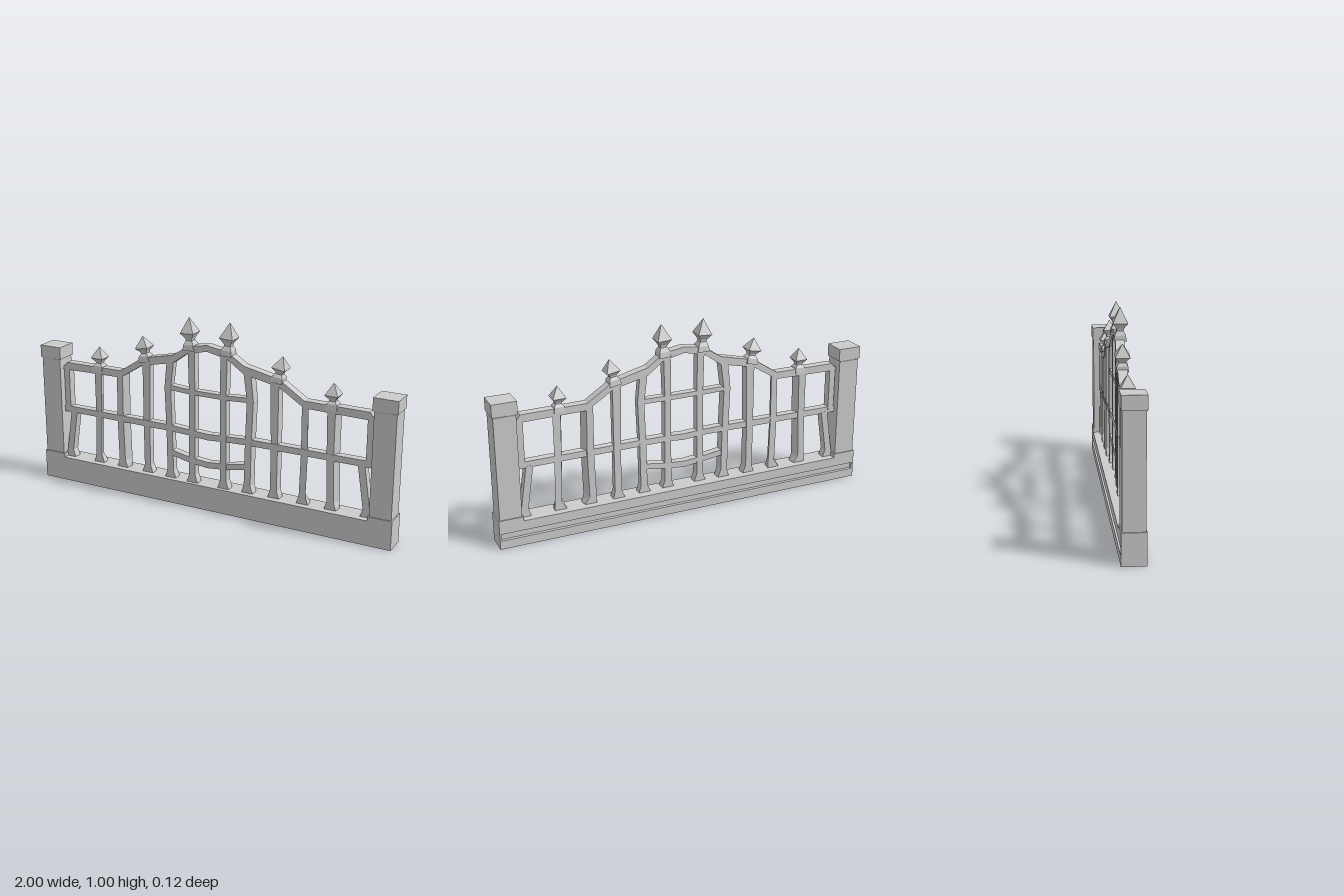
import * as THREE from 'three';

const material = new THREE.MeshStandardMaterial({ color: 0xcccccc, flatShading: true });

function part(parent, name, geometry, x = 0, y = 0, z = 0) {
  const mesh = new THREE.Mesh(geometry, material);
  mesh.name = name;
  mesh.position.set(x, y, z);
  parent.add(mesh);
  return mesh;
}

// Skin a run of four-cornered cross-sections, with both ends capped
function loft(rings) {
  const pos = [];
  const quad = (a, b, c, d) => pos.push(...a, ...b, ...c, ...a, ...c, ...d);
  for (let r = 0; r < rings.length - 1; r++) {
    const p = rings[r], q = rings[r + 1];
    for (let i = 0; i < 4; i++) quad(p[i], p[(i + 1) % 4], q[(i + 1) % 4], q[i]);
  }
  const [a, b, c, d] = rings[0];
  quad(d, c, b, a);
  quad(...rings[rings.length - 1]);
  const g = new THREE.BufferGeometry();
  g.setAttribute('position', new THREE.Float32BufferAttribute(pos, 3));
  g.computeVertexNormals();
  return g;
}

// The middle of the grille bulges forward a little
const bow = (x) => 0.002 + 0.013 * THREE.MathUtils.clamp((0.32 - Math.abs(x)) / 0.2, 0, 1);

// Horizontal rail from [x, bottom, top] stations given for x >= 0, mirrored
function rail(half, depth) {
  const mirrored = half.filter((s) => s[0] > 0).map(([x, b, t]) => [-x, b, t]).reverse();
  return loft([...mirrored, ...half].map(([x, b, t]) => {
    const f = bow(x) + depth / 2, k = bow(x) - depth / 2;
    return [[x, b, f], [x, b, k], [x, t, k], [x, t, f]];
  }));
}

// Upright bar from [y, x, width] stations; skew slides the rear face sideways
function post(stations, side, skew, depth) {
  return loft(stations.map(([y, px, w]) => {
    const x = px * side, xb = x + skew * side * (y < 0.15 ? 0.3 : 1);
    const f = bow(x) + depth / 2, k = bow(x) - depth / 2;
    return [[x - w / 2, y, f], [x + w / 2, y, f], [xb + w / 2, y, k], [xb - w / 2, y, k]];
  }));
}

// Four-sided spear head on a flared neck, half-width r
function finial(height, r) {
  const c = Math.SQRT2;
  const profile = [[0, -0.02], [r * 0.85, -0.02], [r * 0.75, 0.008], [r * 0.45, height * 0.2],
    [r * 0.5, height * 0.28], [r, height * 0.47], [0, height]];
  const g = new THREE.LatheGeometry(profile.map(([x, y]) => new THREE.Vector2(x * c, y)), 4, Math.PI / 4)
    .toNonIndexed();
  g.computeVertexNormals();
  return g;
}

export function createModel() {
  const model = new THREE.Group();
  model.name = 'ornamentalFence';

  // Plinth with a groove along the back
  const section = new THREE.Shape([[-0.057, 0], [0.057, 0], [0.057, 0.045], [0.04, 0.045], [0.04, 0.08],
    [0.057, 0.08], [0.057, 0.13], [-0.057, 0.13]].map(([x, y]) => new THREE.Vector2(x, y)));
  const plinth = new THREE.ExtrudeGeometry(section, { depth: 1.98, bevelEnabled: false });
  plinth.translate(0, 0, -0.99).rotateY(Math.PI / 2);
  part(model, 'plinth', plinth);

  // Square end pillars
  for (const s of [1, -1]) {
    const pillar = new THREE.Group();
    pillar.name = s > 0 ? 'leftPillar' : 'rightPillar';
    model.add(pillar);
    part(pillar, 'plinthEnd', new THREE.BoxGeometry(0.01, 0.13, 0.114), s * 0.995, 0.065);
    part(pillar, 'pillarBase', new THREE.BoxGeometry(0.125, 0.022, 0.114), s * 0.9375, 0.141);
    part(pillar, 'pillarShaft', new THREE.BoxGeometry(0.112, 0.56, 0.104), s * 0.938, 0.42);
    part(pillar, 'pillarCapNeck', new THREE.CylinderGeometry(0.0575 * Math.SQRT2, 0.052 * Math.SQRT2, 0.009, 4)
      .rotateY(Math.PI / 4), s * 0.9375, 0.681);
    part(pillar, 'pillarCap', new THREE.BoxGeometry(0.125, 0.065, 0.114), s * 0.9375, 0.7175);
  }

  // Rails
  const grille = new THREE.Group();
  grille.name = 'grille';
  model.add(grille);
  part(grille, 'topRail', rail([[0, 0.843, 0.875], [0.11, 0.82, 0.857], [0.2, 0.755, 0.797], [0.385, 0.715, 0.755],
    [0.52, 0.63, 0.667], [0.855, 0.625, 0.665], [0.88, 0.625, 0.63]], 0.047));
  part(grille, 'middleRail', rail([[0, 0.377, 0.41], [0.1, 0.385, 0.415], [0.22, 0.387, 0.42],
    [0.89, 0.387, 0.42]], 0.042));
  part(grille, 'upperCrossRail', rail([[0, 0.605, 0.63], [0.1, 0.605, 0.63], [0.22, 0.61, 0.635]], 0.04));
  part(grille, 'lowerCrossRail', rail([[0, 0.225, 0.257], [0.1, 0.235, 0.265], [0.215, 0.255, 0.285]], 0.04));

  // Uprights: [skew, stations], mirrored
  const foot = (x) => [[0.115, x, 0.065], [0.135, x, 0.06], [0.17, x, 0.036]];
  const posts = [
    [0, [...foot(0.09), [0.4, 0.09, 0.034], [0.62, 0.088, 0.034], [0.84, 0.092, 0.038]]],
    [0.004, [...foot(0.222), [0.4, 0.226, 0.035], [0.62, 0.234, 0.036], [0.77, 0.216, 0.04]]],
    [0.004, [...foot(0.365), [0.4, 0.366, 0.036], [0.735, 0.362, 0.045]]],
    [-0.018, [...foot(0.522), [0.4, 0.528, 0.036], [0.645, 0.525, 0.034]]],
    [0.016, [...foot(0.67), [0.4, 0.662, 0.036], [0.645, 0.66, 0.042]]],
    [0, [[0.115, 0.855, 0.065], [0.135, 0.857, 0.06], [0.17, 0.857, 0.036], [0.395, 0.822, 0.036]]],
    [0, [[0.395, 0.86, 0.033], [0.645, 0.86, 0.033]]],
  ];
  for (const s of [1, -1])
    for (const [skew, stations] of posts) part(grille, 'upright', post(stations, s, skew, 0.043));

  // Finials: x, y, height, half-width, outward tilt
  const finials = [[0.105, 0.855, 0.146, 0.037, 0.06], [0.375, 0.755, 0.112, 0.036, 0.17], [0.66, 0.663, 0.11, 0.034, 0]];
  for (const s of [1, -1])
    for (const [x, y, h, r, tilt] of finials)
      part(grille, 'finial', finial(h, r), s * x, y, bow(x)).rotation.z = -s * tilt;

  return model;
}
